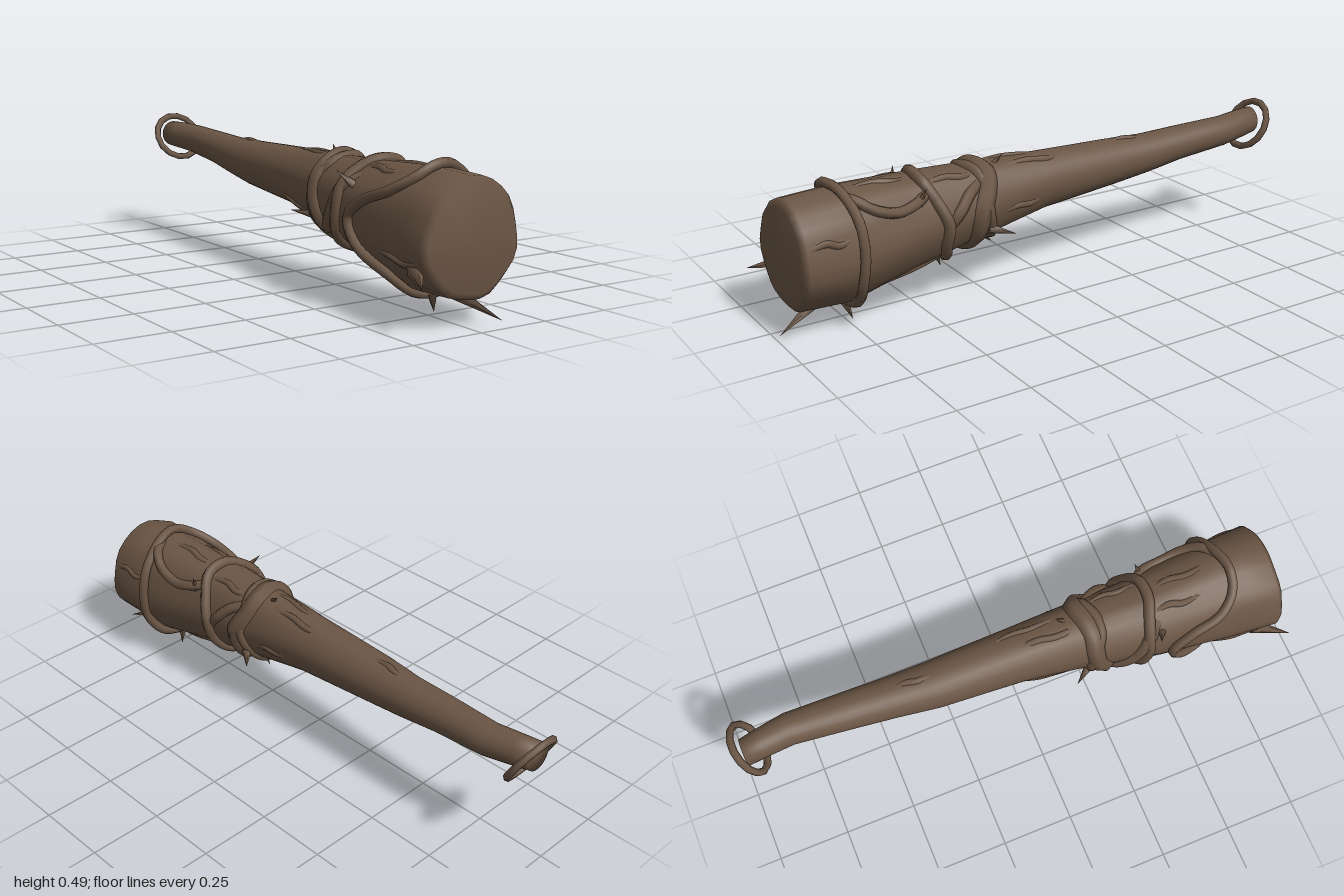
import * as THREE from 'three';

// Cross-sections of the club: z, left x, right x, bottom y, top y
const SECTIONS = [
  [0.95, -0.16, 0.175, 0.1, 0.43], [0.93, -0.178, 0.192, 0.078, 0.455],
  [0.75, -0.16, 0.182, 0.07, 0.465], [0.5, -0.138, 0.152, 0.13, 0.455],
  [0.3, -0.108, 0.138, 0.175, 0.45], [0.2, -0.09, 0.132, 0.195, 0.45],
  [0, -0.07, 0.122, 0.24, 0.442], [-0.3, -0.054, 0.112, 0.27, 0.435],
  [-0.45, -0.035, 0.11, 0.29, 0.432], [-0.6, -0.022, 0.11, 0.315, 0.438],
  [-0.8, -0.003, 0.11, 0.335, 0.445], [-0.9, -0.012, 0.09, 0.345, 0.45],
  [-0.965, -0.02, 0.075, 0.352, 0.45],
];
// Lumpy outline of the head, one radius every 30 degrees from +x
const HEAD = [1, 0.98, 1.05, 0.98, 0.95, 0.95, 1, 1, 0.95, 0.98, 0.99, 1];
const SIDES = 28;

function sectionAt(z) {
  let i = 0;
  while (i < SECTIONS.length - 2 && z < SECTIONS[i + 1][0]) i++;
  const a = SECTIONS[i], b = SECTIONS[i + 1];
  const t = THREE.MathUtils.clamp((a[0] - z) / (a[0] - b[0]), 0, 1);
  return a.map((v, k) => v + (b[k] - v) * t);
}

// Point on the bark at an angle and a z, pushed out by an offset
function barkPoint(angle, z, offset = 0) {
  const [, x0, x1, y0, y1] = sectionAt(z);
  const f = (((angle / (Math.PI * 2)) % 1 + 1) % 1) * 12;
  const i = Math.floor(f) % 12;
  const head = THREE.MathUtils.lerp(HEAD[i], HEAD[(i + 1) % 12], f - Math.floor(f));
  const blend = THREE.MathUtils.smoothstep(z, 0, 0.7);
  const groove = 0.022 * Math.sin(7 * angle + 4 * z) * THREE.MathUtils.smoothstep(z, -0.3, 0.5);
  const r = 1 + (head - 1) * blend + groove;
  return new THREE.Vector3(
    (x0 + x1) / 2 + ((x1 - x0) / 2 * r + offset) * Math.cos(angle),
    (y0 + y1) / 2 + ((y1 - y0) / 2 * r + offset) * Math.sin(angle), z);
}

function clubGeometry() {
  const rows = [0.95, 0.93, 0.84, 0.75, 0.67, 0.58, 0.5, 0.4, 0.3, 0.2, 0.1, 0,
    -0.15, -0.3, -0.45, -0.6, -0.7, -0.8, -0.9, -0.965];
  const pos = [], index = [];
  const at = (i, j) => i * SIDES + (j % SIDES);
  rows.forEach((z, i) => {
    for (let j = 0; j < SIDES; j++) pos.push(...barkPoint(j / SIDES * Math.PI * 2, z).toArray());
    if (i) for (let j = 0; j < SIDES; j++) {
      const a = at(i - 1, j), b = at(i - 1, j + 1), c = at(i, j), d = at(i, j + 1);
      index.push(a, c, b, b, c, d);
    }
  });
  // Shallow domed face at the head, flat end at the grip
  const front = pos.length / 3, back = front + 1, last = rows.length - 1;
  pos.push(0, 0.265, 0.958, 0.028, 0.4, -0.96);
  for (let j = 0; j < SIDES; j++) {
    index.push(front, at(0, j), at(0, j + 1), back, at(last, j + 1), at(last, j));
  }
  const g = new THREE.BufferGeometry();
  g.setAttribute('position', new THREE.Float32BufferAttribute(pos, 3));
  g.setIndex(index);
  g.computeVertexNormals();
  return g;
}

export function createModel() {
  const group = new THREE.Group();
  const wood = new THREE.MeshStandardMaterial({ color: 0x6b5645 });
  wood.name = 'brown wood';

  const add = (name, geometry) => {
    const m = new THREE.Mesh(geometry, wood);
    m.name = name;
    group.add(m);
    return m;
  };

  // Vine through [degrees, z] waypoints on the bark
  const vine = (name, points, radius, offset, closed = false) => {
    const path = points.map(([deg, z], i) => {
      const end = !closed && (i === 0 || i === points.length - 1);
      return barkPoint(THREE.MathUtils.degToRad(deg), z, end ? -radius : offset);
    });
    const curve = new THREE.CatmullRomCurve3(path, closed, 'centripetal');
    add(name, new THREE.TubeGeometry(curve, points.length * 4, radius, 7, closed));
  };

  // Tilted ring: highest point at zTop, lowest at zBottom
  const hoop = (name, zTop, zBottom, radius, offset) => {
    const points = [];
    for (let d = 0; d < 360; d += 30) {
      const wobble = 0.012 * Math.sin(d * 0.05 + zTop * 9);
      points.push([d, THREE.MathUtils.lerp(zBottom, zTop, (Math.sin(d * Math.PI / 180) + 1) / 2) + wobble]);
    }
    vine(name, points, radius, offset, true);
  };

  // Pointed thorn from base to tip
  const thorn = (base, tip, radius) => {
    const a = new THREE.Vector3(...base), b = new THREE.Vector3(...tip);
    const dir = b.clone().sub(a);
    const m = add('thorn', new THREE.ConeGeometry(radius, dir.length(), 5));
    m.position.copy(a).add(b).multiplyScalar(0.5);
    m.quaternion.setFromUnitVectors(new THREE.Vector3(0, 1, 0), dir.normalize());
  };

  add('club', clubGeometry());

  // Vines wrapped around the head
  vine('headVine', [[5, 0.745], [35, 0.75], [70, 0.77], [95, 0.785], [120, 0.77], [142, 0.71],
    [158, 0.6], [180, 0.53], [205, 0.57], [230, 0.68], [255, 0.73], [280, 0.74], [305, 0.74],
    [335, 0.75]], 0.017, 0.012, true);
  vine('crossVine', [[80, 0.78], [55, 0.74], [40, 0.68], [32, 0.6], [36, 0.53], [50, 0.47]], 0.018, 0.006);
  vine('crossVine', [[120, 0.5], [150, 0.45], [185, 0.4], [215, 0.34], [240, 0.28]], 0.026, -0.006);
  vine('crossVine', [[350, 0.42], [10, 0.38], [30, 0.33], [50, 0.27]], 0.02, 0);
  hoop('middleVine', 0.48, 0.39, 0.02, 0.004);
  hoop('collarVine', 0.25, 0.31, 0.038, -0.015);
  hoop('collarVine', 0.285, 0.23, 0.022, -0.006);

  // Bark ridges along the shaft
  [[78, 0.72, 0.52], [110, 0.66, 0.5], [20, 0.92, 0.78], [60, 0.46, 0.3], [100, 0.22, 0.02],
    [65, 0.16, -0.06], [85, -0.3, -0.42], [250, 0.66, 0.45], [300, 0.62, 0.4], [200, 0.9, 0.7],
    [345, 0.2, 0.05], [215, 0.2, 0.0]].forEach(([deg, z0, z1]) =>
    vine('barkRidge', [[deg, z0], [deg + 3, z0 * 0.6 + z1 * 0.4], [deg - 2, z0 * 0.3 + z1 * 0.7],
      [deg, z1]], 0.013, -0.006));

  // Thorns
  [[[-0.14, 0.18, 0.86], [-0.21, 0.153, 0.985], 0.028],
    [[0.02, 0.095, 0.84], [0.08, 0.028, 1.0], 0.024],
    [[0.015, 0.075, 0.75], [0.04, 0.003, 0.73], 0.02],
    [[0.02, 0.17, 0.41], [0.03, 0.11, 0.395], 0.018],
    [[0.12, 0.24, 0.25], [0.18, 0.23, 0.185], 0.018],
    [[-0.08, 0.25, 0.24], [-0.13, 0.26, 0.175], 0.016],
    [[0.04, 0.21, 0.26], [0.05, 0.165, 0.205], 0.016],
    [[0.12, 0.38, 0.52], [0.145, 0.44, 0.5], 0.016],
    [[-0.1, 0.38, 0.5], [-0.15, 0.43, 0.47], 0.016],
    [[0.04, 0.43, 0.2], [0.05, 0.47, 0.16], 0.014]].forEach((t) => thorn(...t));

  // Tilted loop around the grip end
  const loop = add('gripLoop', new THREE.TorusGeometry(0.091, 0.013, 6, 14));
  loop.position.set(0.04, 0.39, -0.945);
  loop.rotation.x = -0.51;
  return group;
}
